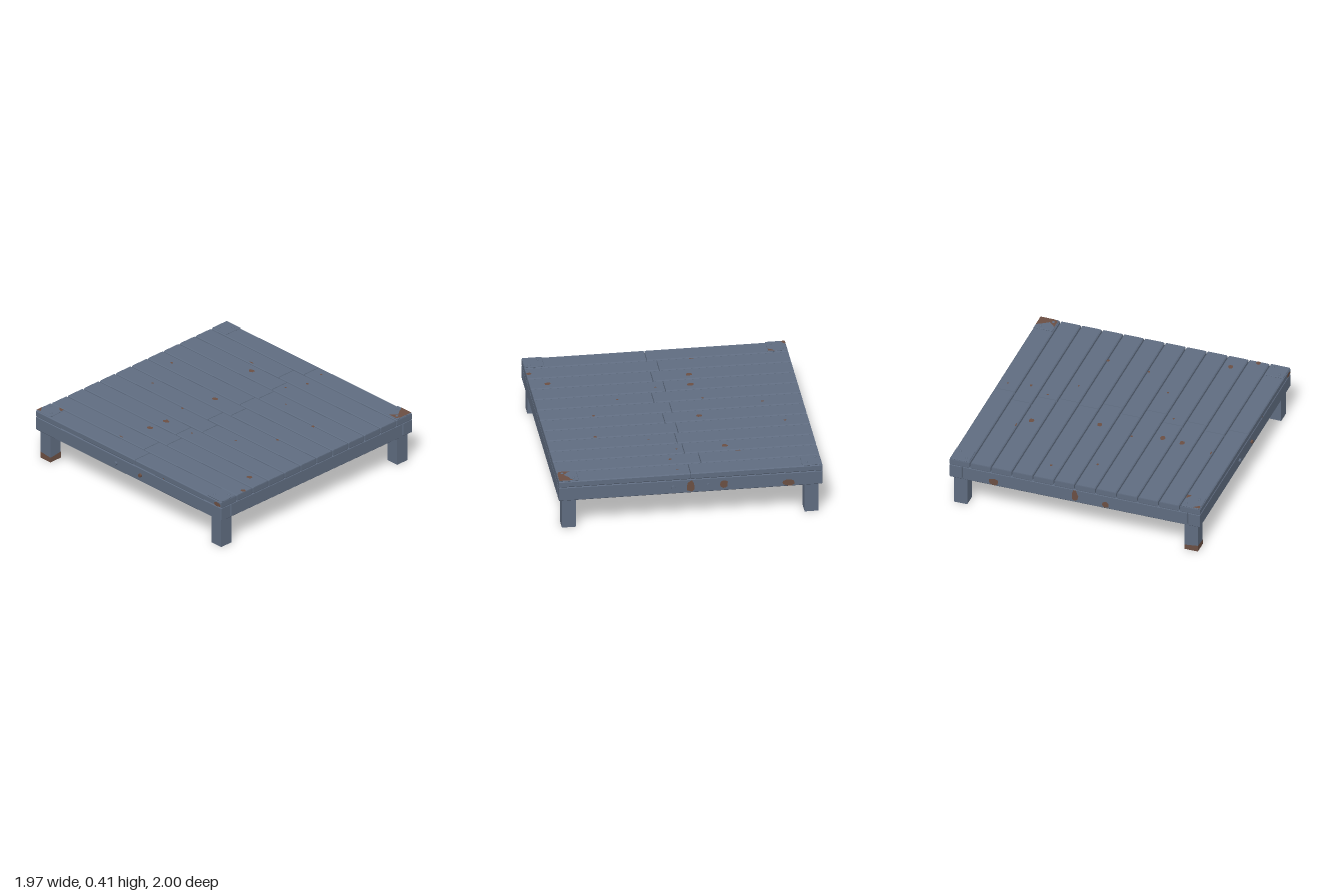
import * as THREE from 'three';

const mat = (name, color) => {
  const m = new THREE.MeshStandardMaterial({ color, side: THREE.DoubleSide });
  m.name = name;
  return m;
};

export function createModel() {
  const steel = mat('blue grey paint', 0x5f6c80);
  const rust = mat('rust', 0x6b4f43);
  const root = new THREE.Group();

  const add = (parent, name, geo, material, x = 0, y = 0, z = 0) => {
    const m = new THREE.Mesh(geo, material);
    m.name = name;
    m.position.set(x, y, z);
    parent.add(m);
    return m;
  };
  const group = (name) => {
    const g = new THREE.Group();
    g.name = name;
    root.add(g);
    return g;
  };

  // Box with chamfered edges: a 3x3x3 box whose outer cells become the bevel (one size per axis)
  function bar(w, h, d, bevel) {
    const geo = new THREE.BoxGeometry(w, h, d, 3, 3, 3).toNonIndexed();
    const p = geo.attributes.position;
    const half = [w / 2, h / 2, d / 2];
    for (let i = 0; i < p.count; i++) {
      const v = [p.getX(i), p.getY(i), p.getZ(i)];
      const outer = v.map((c, k) => Math.abs(c) > half[k] * 0.9);
      const n = outer.filter(Boolean).length;
      p.setXYZ(i, ...v.map((c, k) =>
        Math.sign(c) * (half[k] - bevel[k] * (outer[k] ? (n - 1) / n : 1))));
    }
    geo.clearGroups();
    geo.computeVertexNormals();
    return geo;
  }

  // Frame rails and middle beam
  const frame = group('frame');
  const railBevel = [0.005, 0.005, 0.005];
  for (const s of [1, -1]) {
    add(frame, s > 0 ? 'frontRail' : 'backRail', bar(1.97, 0.11, 0.095, railBevel), steel, 0, 0.29, s * 0.9375);
    add(frame, s > 0 ? 'leftRail' : 'rightRail', bar(0.095, 0.11, 1.77, railBevel), steel, s * 0.9375, 0.29, 0);
  }
  add(frame, 'middleBeam', bar(0.08, 0.11, 1.78, railBevel), steel, 0, 0.29, 0);

  // Deck: twelve rows of planks, each with its own joint
  const deck = group('deck');
  const joints = [0, -0.1, 0, 0.03, 0, 0.075, 0, 0.11, 0, 0.07, 0, 0.07];
  const pitch = 0.1648;
  joints.forEach((j, i) => {
    const z = (i - 5.5) * pitch;
    for (const [a, b] of [[-0.985, j - 0.002], [j + 0.002, 0.985]]) {
      add(deck, 'plank', bar(b - a, 0.05, 0.157, [0.001, 0.007, 0.007]), steel, (a + b) / 2, 0.37, z);
    }
  });

  // Hollow legs, open at the foot
  const legs = group('legs');
  function tube(w, h) {
    const geo = new THREE.CylinderGeometry(w / Math.SQRT2, w / Math.SQRT2, h, 4, 1, true);
    return geo.rotateY(Math.PI / 4).toNonIndexed();
  }
  for (const x of [-0.907, 0.907]) for (const z of [-0.907, 0.907]) {
    const geo = tube(0.105, 0.24);
    geo.computeVertexNormals();
    add(legs, 'leg', geo, steel, x, 0.12, z);
  }

  // Corner plates, each with two low domed bolts
  const fittings = group('fittings');
  for (const sx of [1, -1]) for (const sz of [1, -1]) {
    add(fittings, 'cornerPlate', bar(0.148, 0.008, 0.148, [0.003, 0.003, 0.003]), steel, sx * 0.909, 0.398, sz * 0.908);
    for (const [a, b] of [[0.87, 0.94], [0.945, 0.865]]) {
      const dome = new THREE.SphereGeometry(0.012, 10, 4, 0, Math.PI * 2, 0, Math.PI / 2).scale(1, 0.6, 1);
      add(fittings, 'plateBolt', dome, steel, sx * a, 0.402, sz * b);
    }
  }

  // Bolts through the front and back rails
  for (const s of [1, -1]) for (const x of [-0.13, 0.13]) {
    const geo = new THREE.CylinderGeometry(0.014, 0.014, 0.018, 10).rotateX(Math.PI / 2);
    add(fittings, 'railBolt', geo, s > 0 && x > 0 ? rust : steel, x, 0.29, s * 0.991);
  }

  // Rust patches: thin ragged discs
  const stains = group('rustPatches');
  let seed = 7;
  const rand = () => (seed = (seed * 16807) % 2147483647) / 2147483647;
  function patch(rx, ry) {
    const pts = [];
    for (let i = 0; i < 10; i++) {
      const a = i / 10 * Math.PI * 2, r = 0.9 + rand() * 0.35;
      pts.push(new THREE.Vector2(Math.cos(a) * rx * r, Math.sin(a) * ry * r));
    }
    return new THREE.ShapeGeometry(new THREE.Shape(pts));
  }

  // On the deck: x, z, radius
  const spots = [
    [-0.31, -0.585, 0.023], [0.12, -0.742, 0.012], [0.09, -0.915, 0.008], [0.05, -0.587, 0.009],
    [0.235, -0.41, 0.008], [0.62, -0.316, 0.014], [-0.81, -0.248, 0.011], [-0.19, -0.09, 0.022],
    [-0.685, 0.072, 0.011], [0.585, 0.015, 0.011], [-0.255, 0.182, 0.011], [0.375, 0.243, 0.009],
    [-0.195, 0.407, 0.024], [0.07, 0.398, 0.009], [-0.205, 0.563, 0.022], [0.85, 0.563, 0.022],
    [0.965, 0.738, 0.019],
  ];
  for (const [x, z, r] of spots) {
    add(stains, 'deckRust', patch(r, r * 0.8).rotateX(-Math.PI / 2), rust, x, 0.3962, z);
  }

  // Along plank edges: x, z
  for (const [x, z] of [[-0.4, -0.673], [-0.255, 0.81]]) {
    add(stains, 'edgeRust', patch(0.02, 0.005).rotateX(-Math.PI / 2), rust, x, 0.3962, z);
  }

  // On the corner plates
  const corner = (pts) => new THREE.ShapeGeometry(
    new THREE.Shape(pts.map(([x, z]) => new THREE.Vector2(x, -z)))).rotateX(-Math.PI / 2);
  const plateRust = [
    [[0.875, -0.98], [0.981, -0.98], [0.981, -0.87], [0.965, -0.838], [0.885, -0.838],
      [0.91, -0.86], [0.935, -0.89], [0.905, -0.93], [0.895, -0.955]],
    [[-0.981, 0.925], [-0.965, 0.945], [-0.945, 0.975], [-0.981, 0.98]],
    [[-0.885, 0.836], [-0.838, 0.836], [-0.838, 0.87], [-0.862, 0.858]],
  ];
  for (const pts of plateRust) add(stains, 'plateRust', corner(pts), rust, 0, 0.4032, 0);

  // On the back rail: x, y, radii
  for (const [x, y, rx, ry] of [[0, 0.288, 0.028, 0.045], [-0.25, 0.288, 0.027, 0.028], [-0.73, 0.268, 0.05, 0.026]]) {
    add(stains, 'backRailRust', patch(rx, ry), rust, x, y, -0.9862);
  }
  // Right-hand rail, outer face: z, y, radii
  for (const [z, y, rx, ry] of [[-0.64, 0.268, 0.035, 0.027], [0, 0.29, 0.024, 0.045], [0.24, 0.268, 0.026, 0.025]]) {
    add(stains, 'sideRailRust', patch(rx, ry).rotateY(Math.PI / 2), rust, -0.9862, y, z);
  }
  // Right-hand rail, inner face
  for (const [z, y, rx, ry] of [[-0.65, 0.268, 0.035, 0.026], [-0.23, 0.288, 0.026, 0.028], [-0.02, 0.288, 0.028, 0.044]]) {
    add(stains, 'innerRailRust', patch(rx, ry).rotateY(Math.PI / 2), rust, -0.8888, y, z);
  }

  // Rust on the front plank
  add(stains, 'plankRust', patch(0.033, 0.015), rust, 0.948, 0.364, 0.9858);
  add(stains, 'plankRust', patch(0.007, 0.005), rust, 0.375, 0.355, 0.9858);

  // Rusty foot with a ragged top edge
  const foot = tube(0.1068, 0.045);
  const fp = foot.attributes.position;
  for (let i = 0; i < fp.count; i++) {
    if (fp.getY(i) > 0) fp.setY(i, fp.getX(i) * fp.getZ(i) > 0 ? 0.016 : 0.028);
  }
  foot.computeVertexNormals();
  add(stains, 'rustyFoot', foot, rust, -0.907, 0.0225, 0.907);

  return root;
}
